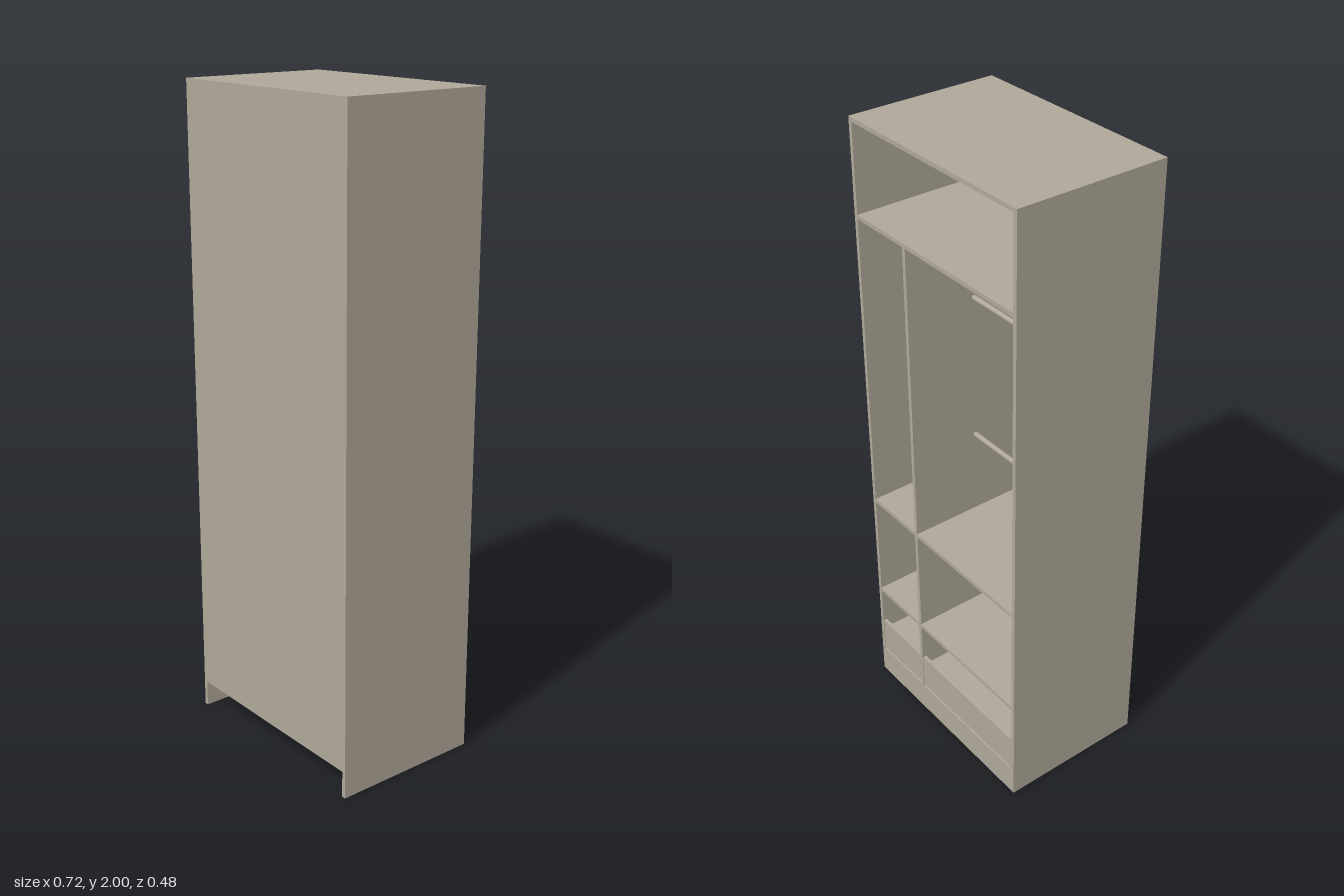
import * as THREE from 'three';

const W = 0.359, D = 0.24, H = 2, T = 0.013; // half width, half depth, height, board thickness

export function createModel() {
  const model = new THREE.Group();
  model.name = 'wardrobe';
  const board = new THREE.MeshStandardMaterial({ color: 0xb0a899 });
  board.name = 'taupe board';

  // Box given by its lower and upper limits on each axis
  const box = (name, x0, x1, y0, y1, z0, z1) => {
    const mesh = new THREE.Mesh(new THREE.BoxGeometry(x1 - x0, y1 - y0, z1 - z0), board);
    mesh.name = name;
    mesh.position.set((x0 + x1) / 2, (y0 + y1) / 2, (z0 + z1) / 2);
    model.add(mesh);
  };

  const inX = W - T, inZ = D - T; // inner faces of the sides and front panel
  const base = 0.083, floor = base + T;
  const upperShelf = 1.704;

  // Carcass, open towards -z
  box('leftSide', inX, W, 0, H - T, -D, D);
  box('rightSide', -W, -inX, 0, H - T, -D, D);
  box('topPanel', -W, W, H - T, H, -D, D);
  box('frontPanel', -inX, inX, base, H - T, inZ, D);
  box('bottomPanel', -inX, inX, base, floor, -D, inZ);
  box('plinth', -inX, inX, 0, base, -D, -inZ);
  box('upperShelf', -inX, inX, upperShelf, upperShelf + T, -D, inZ);

  // Upright divider makes a narrow and a wide bay
  const div0 = 0.119, div1 = div0 + T;
  box('divider', div0, div1, floor, upperShelf, -D, inZ);

  for (const [side, x0, x1] of [['narrow', div1, inX], ['wide', -inX, div0]]) {
    // Shelves
    for (const y of [0.354, 0.722]) box(side + 'BayShelf', x0, x1, y, y + T, -D, inZ);

    // Hanging rods
    for (const y of [1.01, 1.48]) {
      const rod = new THREE.Mesh(new THREE.CylinderGeometry(0.008, 0.008, x1 - x0, 16), board);
      rod.name = side + 'BayRod';
      rod.rotation.z = Math.PI / 2;
      rod.position.set((x0 + x1) / 2, y, -0.012);
      model.add(rod);
    }

    // Drawer: taller face board with a lower box behind it
    box(side + 'DrawerFace', x0 + 0.002, x1 - 0.002, 0.104, 0.224, -D + 0.001, -inZ);
    box(side + 'DrawerBox', x0 + 0.008, x1 - 0.008, 0.104, 0.197, -inZ, 0.2);
  }
  return model;
}
